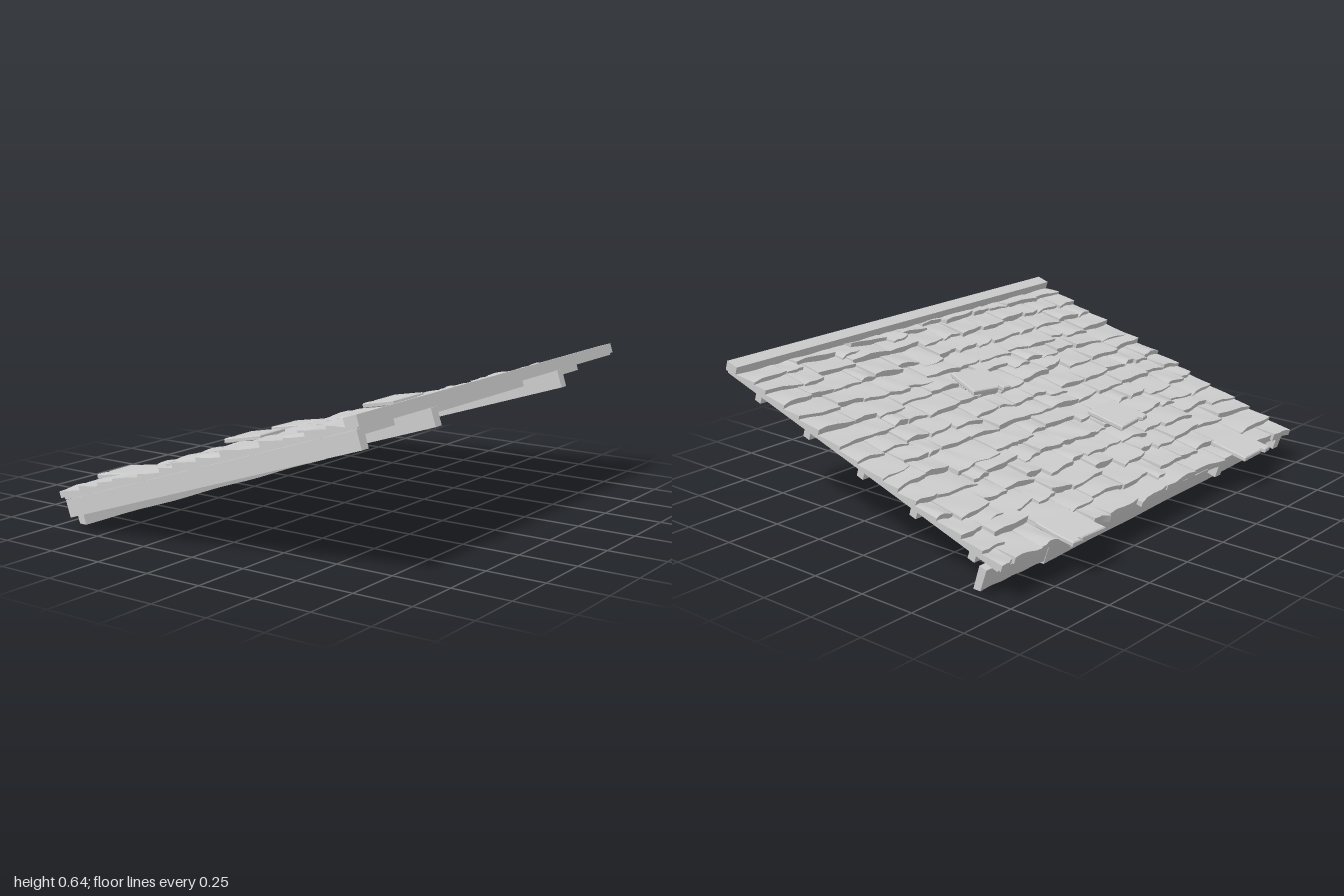
import * as THREE from 'three';
import { mergeGeometries } from 'three/addons/utils/BufferGeometryUtils.js';

const material = new THREE.MeshStandardMaterial({ color: 0xcccccc, side: THREE.DoubleSide });
const SLOPE = 0.315; // roof pitch in radians

let seed = 11;
const rand = (a, b) => {
  seed = (seed * 16807) % 2147483647;
  return a + (b - a) * (seed / 2147483647);
};

// Move every vertex of a geometry by a rule
function warp(geo, rule) {
  const p = geo.attributes.position;
  const v = new THREE.Vector3();
  for (let i = 0; i < p.count; i++) {
    v.fromBufferAttribute(p, i);
    rule(v);
    p.setXYZ(i, v.x, v.y, v.z);
  }
  geo.computeVertexNormals();
  return geo;
}

function add(parent, name, geo, x = 0, y = 0, z = 0) {
  const mesh = new THREE.Mesh(geo, material);
  mesh.name = name;
  mesh.position.set(x, y, z);
  parent.add(mesh);
  return mesh;
}

// One worn shingle: thick at the lower edge, thin where it tucks under the next course
function shingle(u, length, z0, z1) {
  const lift = rand(-0.005, 0.007);
  const twist = rand(-0.006, 0.006);
  const skew = rand(-0.012, 0.012);
  const phase = rand(0, 6);
  const geo = new THREE.BoxGeometry(1, 1, 1, 4, 1, 4);
  return warp(geo, (p) => {
    const t = p.x + 0.5;
    const s = p.z;
    const top = p.y > 0;
    const low = 1 - t;
    const wave = 0.0025 * Math.sin(phase + 5 * s + 3 * t) - 0.012 * s * s * low;
    const v = top
      ? 0.013 + low * (0.028 + lift + twist * s) + wave
      : 0.004 + low * 0.008;
    const ragged = low * (skew * s * 2 + 0.005 * Math.sin(phase * 2 + 7 * s));
    const z = (z0 + z1) / 2 + s * (z1 - z0);
    p.set(u + t * length + ragged, v, THREE.MathUtils.clamp(z, -0.995, 0.995));
  });
}

// Loose shingle with a chipped lower edge
function looseShingle() {
  const outline = new THREE.Shape([
    [-0.095, -0.10], [0.085, -0.095], [0.092, 0.09], [0.0, 0.10], [-0.088, 0.10],
    [-0.092, 0.065], [-0.065, 0.05], [-0.085, 0.035],
  ].map(([x, y]) => new THREE.Vector2(x, y)));
  const geo = new THREE.ExtrudeGeometry(outline, {
    depth: 0.014, bevelEnabled: true, bevelSize: 0.004, bevelThickness: 0.004, bevelSegments: 1,
  });
  return geo.rotateX(Math.PI / 2);
}

export function createModel() {
  const model = new THREE.Group();
  model.name = 'leanToRoof';

  // Sloped frame: x runs up the slope, y is its normal
  const roof = new THREE.Group();
  roof.name = 'slopedRoof';
  roof.position.y = 0.342;
  roof.rotation.z = SLOPE;
  model.add(roof);

  // Deck under the shingles
  add(roof, 'deck', new THREE.BoxGeometry(1.52, 0.01, 1.985), 0.043, 0.006, 0);

  // Rafters
  for (const z of [0.978, 0.5, -0.5]) {
    add(roof, 'rafter', new THREE.BoxGeometry(1.51, 0.074, 0.042), 0.048, -0.037, z);
  }

  // Battens across the rafters, the second one sagging in the middle
  [0.61, 0.315, 0.005, -0.285, -0.59].forEach((u, i) => {
    const geo = new THREE.BoxGeometry(0.034, 0.032, 1.98, 1, 1, 24);
    if (i === 1) {
      warp(geo, (p) => { p.x += 0.035 * Math.exp(-Math.pow((p.z + 0.12) / 0.22, 2)); });
    }
    add(roof, 'batten', geo, u, -0.015, 0);
  });

  // Ridge board
  add(roof, 'ridgeBoard', new THREE.BoxGeometry(0.06, 0.042, 1.99), 0.785, 0.03, 0);

  // Shingle courses from eave to ridge
  for (let k = 0; k < 14; k++) {
    const parts = [];
    let z = -0.995;
    while (z < 0.99) {
      let end = z + rand(0.08, 0.21);
      if (end > 0.93) end = 0.995;
      const stagger = k === 0 ? rand(-0.004, 0.012) : rand(0, 1) < 0.25 ? rand(-0.045, 0.045) : rand(-0.012, 0.012);
      const u = -0.73 + k * 0.109 + stagger;
      parts.push(shingle(u, Math.min(0.165 - Math.min(stagger, 0), 0.765 - u), z, end - 0.003));
      z = end;
    }
    add(roof, 'shingleCourse', mergeGeometries(parts));
  }

  // Loose shingles: position up the slope, height, z, turn, tilt
  for (const [u, v, z, turn, tilt, side] of [
    [-0.703, 0.05, -0.58, 0.03, -0.14, -1],
    [-0.7, 0.05, 0.62, -0.04, -0.14, 1],
    [-0.268, 0.062, 0.27, 0.03, -0.12, 1],
    [0.215, 0.06, -0.1, -0.24, -0.1, 1],
  ]) {
    const mesh = add(roof, 'looseShingle', looseShingle(), u, v, z);
    mesh.rotation.set(0, turn, tilt);
    mesh.scale.z = side * 0.95;
  }

  // Eave boards, hung square to the slope with uneven lower edges
  for (const [z0, z1, low0, low1] of [[-0.99, -0.622, 0.02, 0.014], [-0.618, 0.995, 0.0, 0.035]]) {
    const geo = warp(new THREE.BoxGeometry(1, 1, 1, 1, 1, 16), (p) => {
      const t = p.z + 0.5;
      const bottom = THREE.MathUtils.lerp(low0, low1, t) + 0.004 * Math.sin(t * Math.PI * 3) ** 2;
      const y = p.y > 0 ? 0.115 : bottom;
      const lean = -0.572 - y * Math.tan(SLOPE);
      p.set(lean + p.x * 0.034, y + p.x * (p.y > 0 ? 0.01 : 0), THREE.MathUtils.lerp(z0, z1, t));
    });
    add(model, 'eaveBoard', geo);
  }

  return model;
}
